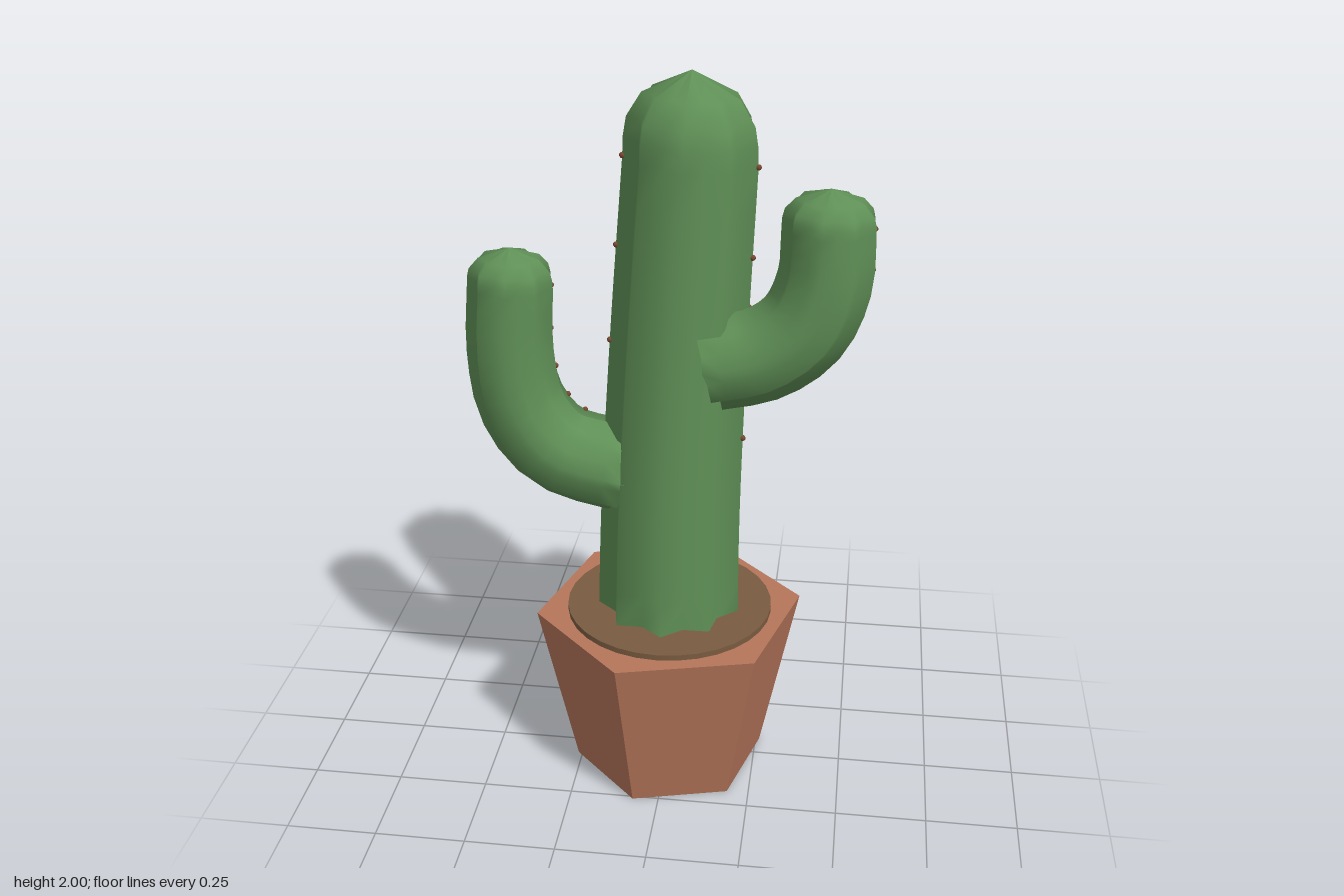
import * as THREE from 'three';

const RIBS = 9;
const VALLEY = 0.82; // groove radius relative to ridge radius
// dome cap: [fraction of dome height, fraction of radius]
const DOME = [[0.22, 0.99], [0.45, 0.94], [0.73, 0.72], [1, 0]];

const mat = (name, color) => {
  const m = new THREE.MeshStandardMaterial({ color });
  m.name = name;
  return m;
};

// A ribbed limb: star-shaped rings swept along a curve, closed by a dome.
function makeLimb({ name, path, r0, r1, dome, phase, spineAt, spineLimit }, green, brown) {
  const curve = new THREE.CatmullRomCurve3(path.map((p) => new THREE.Vector3(...p)));
  const zAxis = new THREE.Vector3(0, 0, 1);
  const frame = (t) => {
    const tan = curve.getTangentAt(t);
    const u = tan.clone().cross(zAxis).normalize();
    return { c: curve.getPointAt(t), tan, u, w: u.clone().cross(tan), r: r0 + (r1 - r0) * t };
  };
  const pointOn = (f, angle, r) => f.c.clone()
    .addScaledVector(f.u, Math.cos(angle) * r)
    .addScaledVector(f.w, Math.sin(angle) * r);

  // stations: flat start cap, sweep, dome
  const stations = [{ ...frame(0), r: 0 }, frame(0)];
  const steps = 12;
  for (let i = 0; i <= steps; i++) stations.push(frame(i / steps));
  const neck = frame(1);
  for (const [h, s] of DOME) {
    stations.push({ ...neck, c: neck.c.clone().add(new THREE.Vector3(0, h * dome, 0)), r: r1 * s });
  }

  const n = RIBS * 2;
  const pos = [], idx = [];
  stations.forEach((f, i) => {
    for (let j = 0; j < n; j++) {
      const p = pointOn(f, phase + (j / n) * Math.PI * 2, f.r * (j % 2 ? VALLEY : 1));
      pos.push(p.x, p.y, p.z);
      if (i === 0) continue;
      const k = (j + 1) % n;
      const a = (i - 1) * n + j, b = (i - 1) * n + k, c = i * n + j, d = i * n + k;
      idx.push(a, c, b, b, c, d);
    }
  });
  const geo = new THREE.BufferGeometry();
  geo.setAttribute('position', new THREE.Float32BufferAttribute(pos, 3));
  geo.setIndex(idx);
  geo.computeVertexNormals();

  const group = new THREE.Group();
  group.name = name;
  const body = new THREE.Mesh(geo, green);
  body.name = name + 'Body';
  group.add(body);

  // small spines along the ridges that face the back
  const spineGeo = new THREE.SphereGeometry(0.008, 6, 5);
  for (let k = 0; k < RIBS; k++) {
    const angle = phase + (k / RIBS) * Math.PI * 2;
    if (Math.sin(angle) > spineLimit) continue;
    for (const t of spineAt) {
      const f = frame(t);
      const spine = new THREE.Mesh(spineGeo, brown);
      spine.name = 'spine';
      spine.position.copy(pointOn(f, angle, f.r));
      group.add(spine);
    }
  }
  return group;
}

export function createModel() {
  const model = new THREE.Group();
  model.name = 'pottedCactus';
  const green = mat('cactusGreen', 0x5f8f56);
  const clay = mat('terracotta', 0xb5755a);
  const earth = mat('soilBrown', 0x795b40);
  const brown = mat('spineBrown', 0x7a4a32);

  // six-sided tapered pot
  const potGeo = new THREE.CylinderGeometry(0.375, 0.27, 0.49, 6, 1, false, -0.27).toNonIndexed();
  potGeo.computeVertexNormals();
  const pot = new THREE.Mesh(potGeo, clay);
  pot.name = 'pot';
  pot.position.y = 0.245;

  // soil disc
  const soil = new THREE.Mesh(new THREE.CylinderGeometry(0.287, 0.287, 0.03, 32), earth);
  soil.name = 'soil';
  soil.position.y = 0.491;
  model.add(pot, soil);

  const armSpines = [0.25, 0.43, 0.62, 0.8, 0.98];
  const limbs = [
    {
      name: 'trunk', r0: 0.2, r1: 0.173, dome: 0.22, phase: Math.PI / 2,
      path: [[0, 0.49, 0], [0.005, 0.8, -0.002], [0.025, 1.3, -0.012], [0.052, 1.78, -0.02]],
      spineAt: [0.43, 0.62, 0.82, 1], spineLimit: 0.2,
    },
    {
      name: 'leftArm', r0: 0.13, r1: 0.12, dome: 0.1, phase: 0.3,
      path: [[0.11, 1.26, 0.04], [0.25, 1.295, 0.042], [0.35, 1.375, 0.045], [0.4, 1.5, 0.047], [0.405, 1.635, 0.047]],
      spineAt: armSpines, spineLimit: 0,
    },
    {
      name: 'rightArm', r0: 0.128, r1: 0.113, dome: 0.1, phase: Math.PI - 0.26,
      path: [[-0.11, 0.925, 0.015], [-0.3, 0.98, 0.022], [-0.39, 1.1, 0.03], [-0.417, 1.27, 0.035], [-0.41, 1.445, 0.035]],
      spineAt: armSpines, spineLimit: 0,
    },
  ];
  for (const limb of limbs) model.add(makeLimb(limb, green, brown));
  return model;
}
